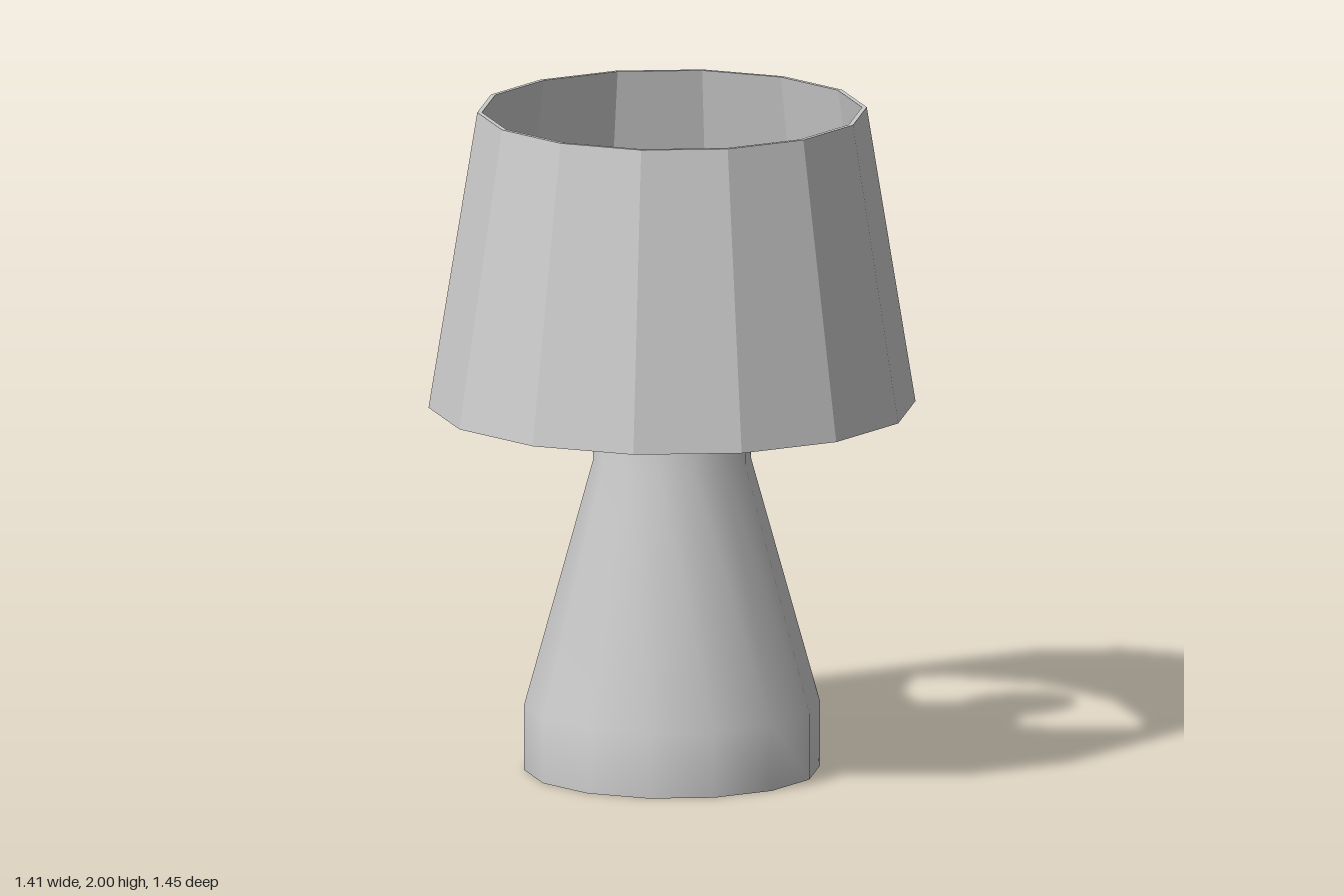
import * as THREE from 'three';

const SIDES = 14;

// Revolve a list of [radius, height] pairs around the y axis
function lathe(name, profile, sides, material) {
  const points = profile.map(([r, y]) => new THREE.Vector2(r, y));
  const mesh = new THREE.Mesh(new THREE.LatheGeometry(points, sides), material);
  mesh.name = name;
  return mesh;
}

export function createModel() {
  const model = new THREE.Group();
  model.name = 'tableLamp';

  const baseMaterial = new THREE.MeshStandardMaterial({ color: 0xcccccc, side: THREE.DoubleSide });
  const shadeMaterial = new THREE.MeshStandardMaterial({ color: 0xcccccc, flatShading: true });
  const socketMaterial = new THREE.MeshStandardMaterial({ color: 0xcccccc });
  const bulbMaterial = new THREE.MeshStandardMaterial({ color: 0x7cecea });

  // Hollow base: foot band, tapering body and straight neck, open at both ends
  model.add(lathe('base', [[0.44, 0], [0.44, 0.2], [0.235, 0.94], [0.235, 1.285]], SIDES, baseMaterial));

  // Faceted shade with a thin wall, closed around both rims
  model.add(lathe('shade', [
    [0.725, 1.105], [0.58, 2], [0.566, 2], [0.711, 1.105], [0.725, 1.105],
  ], SIDES, shadeMaterial));

  // Bulb: round globe running into a short tapered neck
  const bulbRadius = 0.156, bulbHeight = 1.61;
  const bulbProfile = [[0, 1.43], [0.09, 1.43]];
  for (let i = 0; i <= 16; i++) {
    const a = THREE.MathUtils.lerp(-0.5, Math.PI / 2, i / 16);
    bulbProfile.push([Math.max(0, bulbRadius * Math.cos(a)), bulbHeight + bulbRadius * Math.sin(a)]);
  }
  const bulb = lathe('bulb', bulbProfile, 32, bulbMaterial);

  // Socket below the bulb, reaching into the neck of the base
  const socket = new THREE.Mesh(new THREE.CylinderGeometry(0.085, 0.085, 0.2, 24), socketMaterial);
  socket.name = 'socket';
  socket.position.y = 1.335;

  const light = new THREE.Group();
  light.name = 'bulbAssembly';
  light.position.set(0.01, 0, 0.005);
  light.add(bulb, socket);
  model.add(light);

  return model;
}
